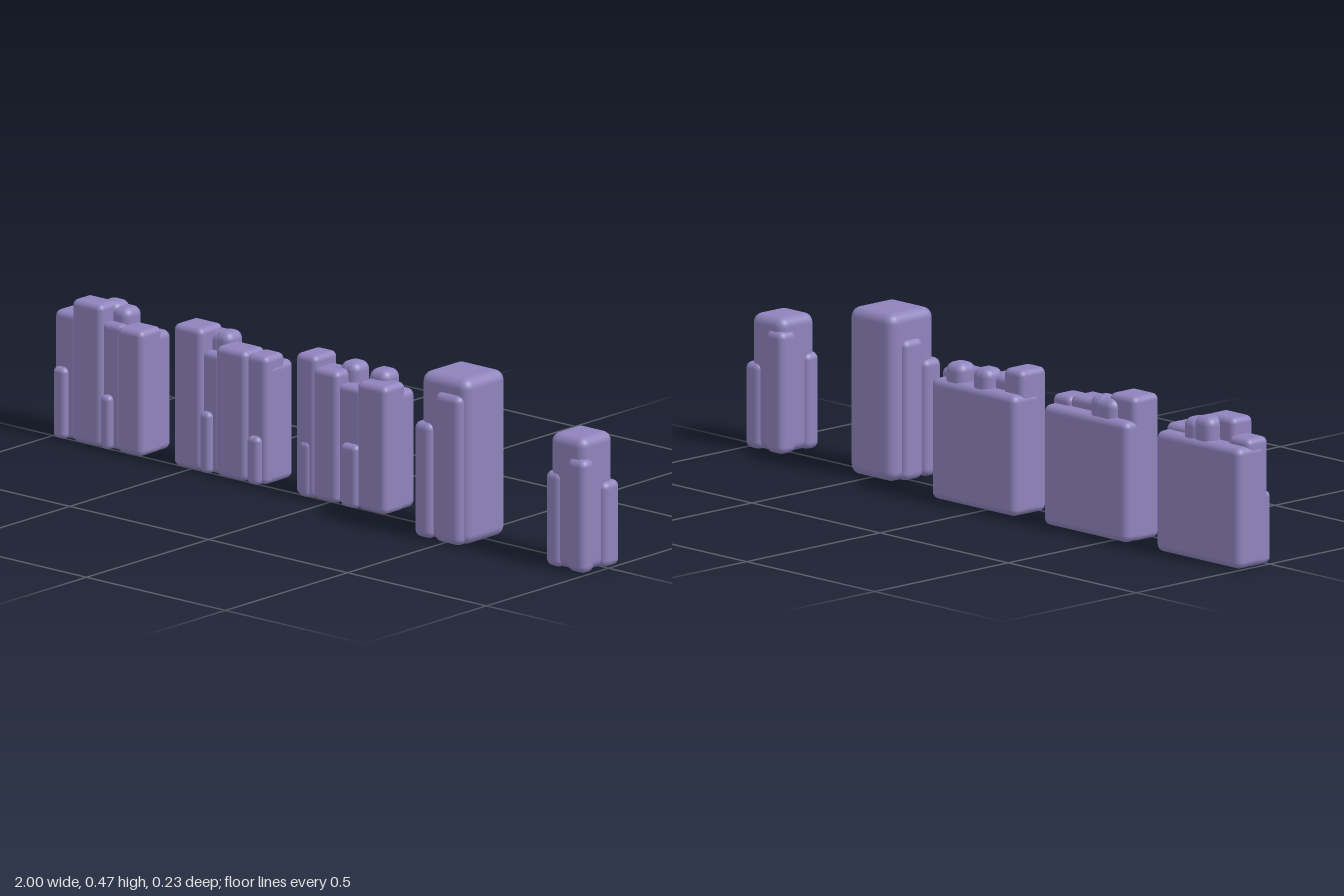
import * as THREE from 'three';
import { RoundedBoxGeometry } from 'three/addons/geometries/RoundedBoxGeometry.js';

export function createModel() {
  const model = new THREE.Group();
  const stone = new THREE.MeshStandardMaterial({ color: 0x8f84bd });
  stone.name = 'violetStone';

  // Rounded block given by its extents
  function block(parent, name, [x0, x1, y0, y1, z0, z1], maxRadius = 0.02) {
    const w = x1 - x0, h = y1 - y0, d = z1 - z0;
    const r = Math.min(maxRadius, w * 0.4, h * 0.4, d * 0.4);
    const mesh = new THREE.Mesh(new RoundedBoxGeometry(w, h, d, 4, r), stone);
    mesh.position.set((x0 + x1) / 2, (y0 + y1) / 2, (z0 + z1) / 2);
    mesh.name = name;
    parent.add(mesh);
  }

  // Wall pieces: slab, columns [x0, x1, top, z0, z1], low front steps [x0, x1, top], crest knobs [x0, x1, top]
  const walls = [
    {
      name: 'leftWall', span: [-1, -0.672],
      columns: [
        [-0.998, -0.915, 0.355, -0.078, 0], [-0.926, -0.818, 0.4, -0.066, 0.012],
        [-0.828, -0.755, 0.352, -0.04, 0], [-0.764, -0.672, 0.352, -0.078, 0.012],
      ],
      steps: [[-0.99, -0.944, 0.2], [-0.82, -0.783, 0.152]],
      knobs: [[-0.875, -0.805, 0.398], [-0.826, -0.765, 0.388]],
    },
    {
      name: 'middleWall', span: [-0.56, -0.232],
      columns: [
        [-0.56, -0.458, 0.4, -0.085, 0.012], [-0.466, -0.4, 0.338, -0.04, 0],
        [-0.408, -0.298, 0.365, -0.076, 0.012], [-0.306, -0.234, 0.36, -0.082, 0],
      ],
      steps: [[-0.461, -0.424, 0.172], [-0.292, -0.248, 0.135]],
      knobs: [[-0.497, -0.425, 0.385], [-0.46, -0.4, 0.388]],
    },
    {
      name: 'rightWall', span: [-0.122, 0.206],
      columns: [
        [-0.12, -0.046, 0.4, -0.085, 0.012], [-0.058, 0.032, 0.37, -0.073, 0.012],
        [0.025, 0.108, 0.335, -0.035, 0], [0.1, 0.206, 0.36, -0.076, 0.012],
      ],
      steps: [[-0.104, -0.063, 0.157], [0.045, 0.106, 0.178]],
      knobs: [[-0.008, 0.058, 0.388], [0.096, 0.166, 0.386]],
    },
  ];
  for (const { name, span, columns, steps, knobs } of walls) {
    const wall = new THREE.Group();
    wall.name = name;
    block(wall, 'backSlab', [...span, 0, 0.335, -0.116, -0.012]);
    for (const [x0, x1, top, z0, z1] of columns) block(wall, 'column', [x0, x1, 0, top, z0, z1], 0.017);
    for (const [x0, x1, top] of steps) block(wall, 'frontStep', [x0, x1, 0, top, -0.03, 0.018], 0.015);
    for (const [x0, x1, top] of knobs) block(wall, 'crestKnob', [x0, x1, 0.27, top, -0.106, -0.036], 0.025);
    model.add(wall);
  }

  // Tall pillar with buttresses on its front and side
  const tall = new THREE.Group();
  tall.name = 'tallPillar';
  block(tall, 'shaft', [0.405, 0.575, 0, 0.465, -0.07, 0.098], 0.028);
  block(tall, 'frontButtress', [0.468, 0.562, 0, 0.42, 0.04, 0.115]);
  block(tall, 'cornerButtress', [0.392, 0.456, 0, 0.325, 0.045, 0.112]);
  block(tall, 'sideButtress', [0.392, 0.46, 0, 0.39, -0.03, 0.045]);
  model.add(tall);

  // Short pillar with a buttress at every corner
  const short = new THREE.Group();
  short.name = 'shortPillar';
  block(short, 'shaft', [0.86, 0.985, 0, 0.375, -0.042, 0.087], 0.026);
  block(short, 'frontLeftButtress', [0.93, 0.997, 0, 0.318, 0.048, 0.098]);
  block(short, 'frontRightButtress', [0.85, 0.907, 0, 0.268, 0.04, 0.094]);
  block(short, 'backLeftButtress', [0.94, 1, 0, 0.24, -0.052, 0.015]);
  block(short, 'backRightButtress', [0.852, 0.92, 0, 0.34, -0.052, 0.01]);
  model.add(short);

  return model;
}
